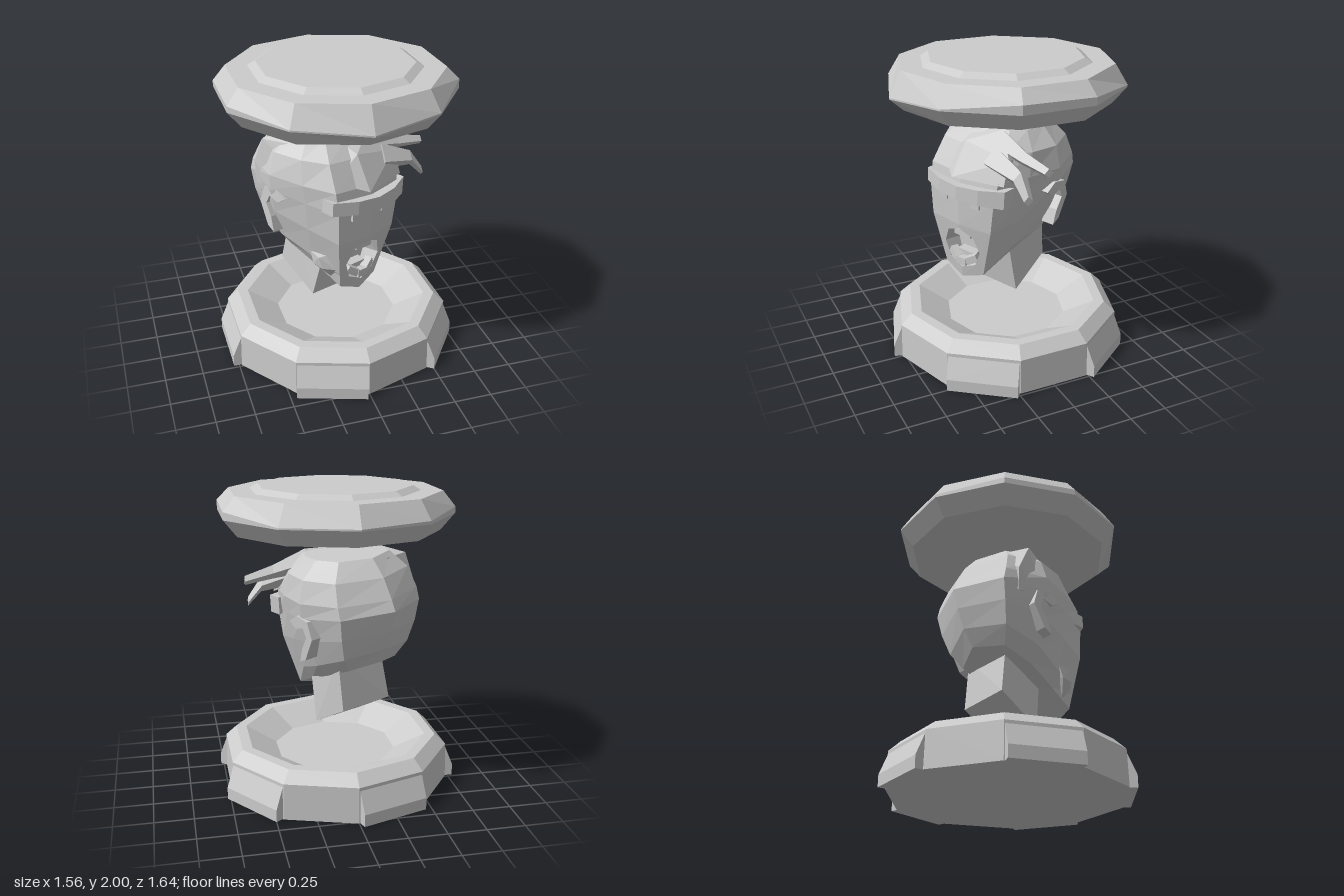
import * as THREE from 'three';
import { ConvexGeometry } from 'three/addons/geometries/ConvexGeometry.js';

const material = new THREE.MeshStandardMaterial({ color: 0xcccccc, flatShading: true, side: THREE.DoubleSide });
const vec = ([x, y, z]) => new THREE.Vector3(x, y, z);

function add(parent, name, geometry, x = 0, y = 0, z = 0) {
  const mesh = new THREE.Mesh(geometry, material);
  mesh.name = name;
  mesh.position.set(x, y, z);
  parent.add(mesh);
  return mesh;
}

const hull = (points) => new ConvexGeometry(points.map(vec));

// Joins rings of equal point count; rings run counter-clockwise seen from above
function loft(rings, { skip = () => false, capStart = true } = {}) {
  const n = rings[0].length;
  const points = rings.flat();
  const index = [];
  for (let i = 0; i < rings.length - 1; i++) {
    for (let j = 0; j < n; j++) {
      if (skip(i, j)) continue;
      const a = i * n + j, b = i * n + (j + 1) % n;
      index.push(a, b, b + n, a, b + n, a + n);
    }
  }
  const cap = (i, flip) => {
    const c = points.length;
    points.push([0, 1, 2].map((k) => rings[i].reduce((s, p) => s + p[k], 0) / n));
    for (let j = 0; j < n; j++) {
      const a = i * n + j, b = i * n + (j + 1) % n;
      index.push(c, flip ? b : a, flip ? a : b);
    }
  };
  if (capStart) cap(0, true);
  cap(rings.length - 1, false);
  const g = new THREE.BufferGeometry();
  g.setAttribute('position', new THREE.Float32BufferAttribute(points.flat(), 3));
  g.setIndex(index);
  g.computeVertexNormals();
  return g;
}

const decagon = (profile) =>
  new THREE.LatheGeometry(profile.map(([r, y]) => new THREE.Vector2(r, y)), 10);

// Four-sided tapering strand through a few points
function strand(path, radii) {
  return loft(path.map(([x, y, z], i) => {
    const r = radii[i];
    return [[x, y - r, z], [x, y, z - r], [x, y + r, z], [x, y, z + r]];
  }));
}

// Front surface of the lower face: depth and half width by height
const faceDepth = (y) => 0.39 + 0.15 * (y - 0.57);
const faceHalf = (y) => 0.15 + 0.24 * (y - 0.57);
const faceZ = (x, y) => faceDepth(y) - 0.03 * Math.abs(x) / faceHalf(y);
const CHIN = 0.545;
const JAW = 0.6;

function buildBase(parent) {
  const base = new THREE.Group();
  base.name = 'base';
  add(base, 'dish', decagon([[0, 0], [0.77, 0], [0.765, 0.24], [0.69, 0.31], [0.62, 0.31], [0.41, 0.2], [0, 0.2]]));
  // Raised panels on every second side
  const section = new THREE.Shape([[-0.05, 0], [0.055, 0], [0.055, 0.08], [-0.015, 0.25], [-0.05, 0.25]]
    .map(([x, y]) => new THREE.Vector2(x, y)));
  for (let k = 0; k < 5; k++) {
    const g = new THREE.ExtrudeGeometry(section, { depth: 0.46, bevelEnabled: false });
    g.translate(0.73, 0, -0.23);
    add(base, 'sidePanel', g).rotation.y = THREE.MathUtils.degToRad(-18 + 72 * k - 90);
  }
  parent.add(base);
}

function buildLid(parent) {
  const profile = [[0, 1.72], [0.68, 1.72], [0.77, 1.83], [0.77, 1.84], [0.69, 1.97], [0.55, 1.97], [0.5, 2], [0, 2]];
  const g = decagon(profile);
  // Uneven band along the widest edge
  const rim = [1.81, 1.84, 1.89, 1.88, 1.84, 1.84, 1.85, 1.87, 1.87, 1.84];
  const p = g.attributes.position;
  for (let i = 0; i <= 10; i++) p.setY(i * profile.length + 3, rim[i % 10]);
  for (const i of [0, 10]) p.setY(i * profile.length + 2, 1.8);
  add(parent, 'lid', g);
}

function buildHead(parent) {
  const head = new THREE.Group();
  head.name = 'head';
  head.position.set(-0.08, 1.2, -0.02);
  head.rotation.set(0, 0.47, -0.06, 'YXZ');
  const inner = new THREE.Group();
  inner.name = 'headParts';
  inner.position.y = -1.2;
  head.add(inner);
  parent.add(head);

  // Skull rings: front y, rise to the back, front depth, face/cheek/side/rear half widths, back depth
  const ring = (y, rise, F, wf, ws, W, wb, B) => {
    const half = [[wf, F - 0.03], [ws, F * 0.45], [W, -0.05], [wb, -0.72 * B]];
    const outline = [[0, F], ...half, [0, -B], ...half.map(([x, z]) => [-x, z]).reverse()];
    return outline.map(([x, z], j) => [x, y + (j < 2 || j === 9 ? 0 : rise * (F - z) / (F + B)), z]);
  };
  const low = (y, rise, ...widths) => ring(y, rise, faceDepth(y), faceHalf(y), ...widths);
  const jaw = low(JAW, 0.29, 0.19, 0.23, 0.2, 0.33);
  jaw[0] = [0, CHIN, faceDepth(CHIN)];
  add(inner, 'skull', loft([
    jaw,
    low(0.7, 0.3, 0.25, 0.31, 0.27, 0.4),
    low(0.95, 0.18, 0.31, 0.37, 0.31, 0.45),
    ring(1.16, 0.1, 0.455, 0.26, 0.34, 0.41, 0.33, 0.48),
    ring(1.3, 0.03, 0.43, 0.27, 0.36, 0.42, 0.33, 0.45),
    ring(1.46, 0, 0.34, 0.25, 0.34, 0.38, 0.3, 0.38),
    ring(1.57, 0, 0.22, 0.18, 0.25, 0.27, 0.21, 0.28),
  ], { skip: (i, j) => i < 2 && (j === 0 || j === 9) }));

  // Lower face around the open mouth, one half at a time
  const mouth = (t) => [0.145 * Math.sin(t), 0.77 - 0.15 * Math.cos(t)];
  for (const side of [1, -1]) {
    const outline = [[0, CHIN], [faceHalf(JAW), JAW], [faceHalf(0.95), 0.95], [0, 0.95]];
    for (let k = 4; k >= 0; k--) outline.push(mouth(k * Math.PI / 4));
    const g = new THREE.ShapeGeometry(new THREE.Shape(outline.map(([x, y]) => new THREE.Vector2(x * side, y))));
    const p = g.attributes.position;
    for (let i = 0; i < p.count; i++) p.setZ(i, faceZ(p.getX(i), p.getY(i)));
    add(inner, 'lowerFace', g);
  }
  const rim = Array.from({ length: 8 }, (_, k) => mouth(k * Math.PI / 4));
  add(inner, 'mouthCavity', loft([
    rim.map(([x, y]) => [x, y, faceZ(x, y)]),
    rim.map(([x, y]) => [x * 0.8, y, 0.29]),
  ], { capStart: false }));
  // Teeth and tongue
  add(inner, 'upperTeeth', new THREE.BoxGeometry(0.13, 0.04, 0.04), 0, 0.87, 0.385);
  for (const side of [-1, 0, 1]) {
    const tooth = add(inner, 'lowerTooth', new THREE.BoxGeometry(0.085, 0.05, 0.05), side * 0.07, side ? 0.695 : 0.67, side ? 0.375 : 0.39);
    tooth.rotation.set(0, side * 0.3, side * 0.5);
  }
  add(inner, 'tongue', new THREE.BoxGeometry(0.14, 0.05, 0.08), 0, 0.7, 0.32);

  // Heavy brow curved around the forehead, with eye blocks below
  const brow = new THREE.BoxGeometry(0.63, 0.09, 0.1, 4, 1, 1);
  const bp = brow.attributes.position;
  for (let i = 0; i < bp.count; i++) {
    const x = bp.getX(i);
    bp.setZ(i, bp.getZ(i) + 0.03 - 0.9 * x * x);
    bp.setY(i, bp.getY(i) * (1 + Math.max(0, x)) + 0.1 * x * x);
  }
  add(inner, 'brow', brow, 0.015, 1.195, 0.42);
  for (const x of [-0.13, 0.13]) add(inner, 'eye', new THREE.BoxGeometry(0.065, 0.06, 0.06), x, 1.13, 0.42);

  // Ears
  const ear = new THREE.Shape([[-0.11, 1.18], [-0.03, 1.23], [0.08, 1.21], [0.12, 1.1], [0.04, 0.95], [-0.02, 0.92],
    [0.01, 1.02], [0.06, 1.1], [0.03, 1.16], [-0.05, 1.14]].map(([x, y]) => new THREE.Vector2(x, y)));
  for (const side of [1, -1]) {
    const g = new THREE.ExtrudeGeometry(ear, { depth: 0.09, bevelEnabled: false });
    g.rotateY(Math.PI / 2);
    g.translate(side > 0 ? 0.33 : -0.4, 0, -0.04);
    add(inner, 'ear', g);
  }
}

function buildHairAndNeck(parent) {
  add(parent, 'neck', hull([
    [-0.2, 0.41, 0.13], [0.13, 0.395, -0.02], [-0.345, 0.58, -0.14], [0, 0.56, -0.29],
    [-0.13, 0.75, 0.17], [0.15, 0.72, 0.04], [-0.29, 0.92, -0.1], [0.03, 0.92, -0.26],
  ]));
  // Swept-up side hair and forelock
  add(parent, 'sideHair', hull([
    [-0.48, 1.54, 0], [-0.46, 1.25, 0.08], [-0.3, 1.59, 0.05], [-0.26, 1.25, 0.26], [-0.15, 1.53, 0.28],
    [-0.13, 1.4, 0.35], [-0.22, 1.27, 0.32], [-0.52, 1.36, -0.08], [-0.51, 1.2, -0.08], [-0.3, 1.55, -0.2], [-0.15, 1.57, 0],
  ]));
  add(parent, 'forelock', hull([
    [-0.12, 1.35, 0.37], [0.1, 1.28, 0.42], [0.38, 1.27, 0.19], [0.35, 1.42, 0.14],
    [0.18, 1.57, 0.1], [-0.08, 1.58, 0.12], [0.05, 1.49, 0.3], [0.2, 1.4, -0.05],
  ]));
  add(parent, 'upperStrand', strand([[0.18, 1.49, 0.1], [0.4, 1.435, 0.05], [0.59, 1.4, -0.01]], [0.08, 0.045, 0.03]));
  add(parent, 'lowerStrand', strand([[0.25, 1.4, 0.18], [0.47, 1.34, 0.12], [0.56, 1.23, 0.11]], [0.09, 0.05, 0.03]));
  add(parent, 'sideburn', hull([
    [-0.25, 0.84, 0.27], [-0.12, 0.85, 0.37], [-0.24, 0.76, 0.3], [-0.11, 0.74, 0.4],
    [-0.12, 0.65, 0.33], [-0.22, 0.83, 0.36], [-0.2, 0.75, 0.37], [-0.12, 0.8, 0.25],
  ]));
}

export function createModel() {
  const model = new THREE.Group();
  model.name = 'headPedestal';
  buildBase(model);
  buildLid(model);
  buildHead(model);
  buildHairAndNeck(model);
  return model;
}
